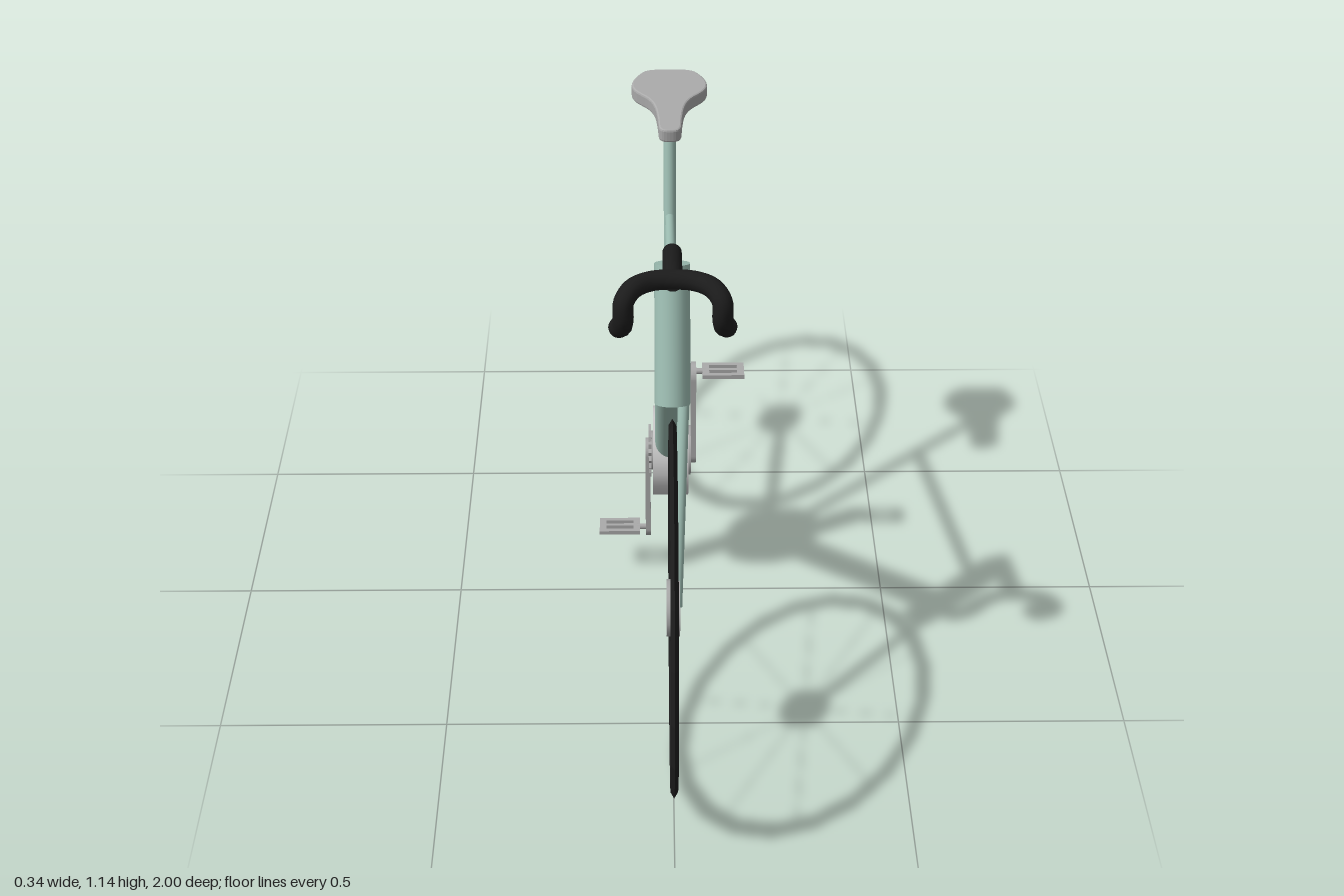
import * as THREE from 'three';

const V = (x, y, z) => new THREE.Vector3(x, y, z);
const mat = (color, flatShading = false) => new THREE.MeshStandardMaterial({ color, flatShading });
const paint = mat(0x9dbdb2);
const black = mat(0x1c1c1c);
const tyre = mat(0x1c1c1c, true);
const metal = mat(0xaaaaaa);
const shell = mat(0xcccccc);

const WHEEL_Y = 0.399, WHEEL_Z = 0.604, WHEEL_R = 0.396;
const CRANK = V(0, 0.337, -0.094);

function add(parent, name, geometry, material) {
  const mesh = new THREE.Mesh(geometry, material);
  mesh.name = name;
  parent.add(mesh);
  return mesh;
}

// Round bar between two points
function bar(parent, name, a, b, r, material, sides = 20) {
  const d = b.clone().sub(a);
  const mesh = add(parent, name, new THREE.CylinderGeometry(r, r, d.length(), sides), material);
  mesh.position.copy(a).addScaledVector(d, 0.5);
  mesh.quaternion.setFromUnitVectors(V(0, 1, 0), d.normalize());
  return mesh;
}

// Disc whose axle runs along x, spanning x0 to x1
const disc = (parent, name, x0, x1, y, z, r, material, sides = 24) =>
  bar(parent, name, V(x0, y, z), V(x1, y, z), r, material, sides);

// Toothed ring lying across the x axis, centred on its own axle
function sprocket(parent, name, x, y, z, r, teeth, hole) {
  const s = new THREE.Shape();
  for (let i = 0; i < teeth * 2; i++) {
    const a = (i / teeth) * Math.PI, q = i % 2 ? r : r * 0.88;
    i ? s.lineTo(q * Math.cos(a), q * Math.sin(a)) : s.moveTo(q, 0);
  }
  s.holes.push(new THREE.Path().absarc(0, 0, hole, 0, Math.PI * 2, true));
  const g = new THREE.ExtrudeGeometry(s, { depth: 0.006, bevelEnabled: false });
  g.rotateY(Math.PI / 2);
  add(parent, name, g, metal).position.set(x, y, z);
}

function wheel(name, z) {
  const group = new THREE.Group();
  group.name = name;
  group.position.set(0, WHEEL_Y, z);
  // Faceted tyre with a lens-shaped section
  const section = [[0.354, 0], [0.365, -0.008], [0.383, -0.008], [WHEEL_R, 0],
    [0.383, 0.008], [0.365, 0.008], [0.354, 0]].map(([r, h]) => new THREE.Vector2(r, h));
  add(group, 'tyre', new THREE.LatheGeometry(section, 20).rotateZ(Math.PI / 2), tyre);
  disc(group, 'hub', -0.014, 0.014, 0, 0, 0.06, metal, 14);
  for (let i = 0; i < 10; i++) {
    const a = THREE.MathUtils.degToRad(100 + i * 36);
    const at = (r) => V(0, r * Math.sin(a), r * Math.cos(a));
    bar(group, 'spoke', at(0.04), at(0.36), 0.0015, metal, 5);
  }
  return group;
}

// Crank arm with a slotted platform pedal; side is +1 or -1, dir is up or down
function crank(name, side, dir) {
  const group = new THREE.Group();
  group.name = name;
  group.position.copy(CRANK);
  const arm = new THREE.Shape();
  arm.absarc(0, 0, 0.03, Math.PI, 0, false);
  arm.absarc(0, 0.207, 0.03, 0, Math.PI, false);
  const armGeo = new THREE.ExtrudeGeometry(arm, { depth: 0.012, bevelEnabled: false });
  armGeo.translate(0, 0, -0.006).rotateY(Math.PI / 2);
  const armMesh = add(group, 'crankArm', armGeo, metal);
  armMesh.position.x = side * 0.053;
  if (dir < 0) armMesh.rotation.x = Math.PI;
  disc(group, 'crankAxle', 0, side * 0.05, 0, 0, 0.028, metal);

  const y = dir * 0.217;
  disc(group, 'pedalAxle', side * 0.05, side * 0.08, y, 0, 0.007, metal, 10);
  const rect = (T, x, z, w, d) => {
    const p = new T();
    p.moveTo(x, z);
    p.lineTo(x + w, z);
    p.lineTo(x + w, z + d);
    p.lineTo(x, z + d);
    p.closePath();
    return p;
  };
  const plate = rect(THREE.Shape, -0.048, -0.028, 0.096, 0.056);
  for (const z of [-0.017, 0.005]) plate.holes.push(rect(THREE.Path, -0.032, z, 0.064, 0.012));
  const plateGeo = new THREE.ExtrudeGeometry(plate, { depth: 0.01, bevelEnabled: false });
  plateGeo.translate(0, 0, -0.005).rotateX(-Math.PI / 2);
  add(group, 'pedal', plateGeo, metal).position.set(side * 0.121, y, 0);
  return group;
}

function saddle() {
  const s = new THREE.Shape();
  // Outline: y runs backwards from the nose
  s.moveTo(0, -0.138);
  s.bezierCurveTo(0.02, -0.138, 0.022, -0.13, 0.022, -0.11);
  s.bezierCurveTo(0.026, -0.02, 0.035, 0.0, 0.062, 0.027);
  s.bezierCurveTo(0.09, 0.055, 0.088, 0.085, 0.062, 0.122);
  s.bezierCurveTo(0.052, 0.14, 0.03, 0.139, 0, 0.139);
  s.bezierCurveTo(-0.03, 0.139, -0.052, 0.14, -0.062, 0.122);
  s.bezierCurveTo(-0.088, 0.085, -0.09, 0.055, -0.062, 0.027);
  s.bezierCurveTo(-0.035, 0.0, -0.026, -0.02, -0.022, -0.11);
  s.bezierCurveTo(-0.022, -0.13, -0.02, -0.138, 0, -0.138);
  const g = new THREE.ExtrudeGeometry(s, {
    depth: 0.022, curveSegments: 8, bevelThickness: 0.005, bevelSize: 0.004, bevelSegments: 2,
  });
  g.translate(0, 0, -0.011).rotateX(-Math.PI / 2);
  const mesh = new THREE.Mesh(g, metal);
  mesh.name = 'saddle';
  mesh.position.set(0, 1.117, -0.325);
  mesh.rotation.x = 0.07;
  return mesh;
}

function handlebar() {
  const group = new THREE.Group();
  group.name = 'handlebar';
  const half = [[0.045, 1.102, 0.462], [0.08, 1.098, 0.485], [0.098, 1.08, 0.508],
    [0.099, 1.045, 0.51], [0.102, 1.018, 0.495], [0.108, 1.007, 0.48]];
  const pts = [...half.map(([x, y, z]) => V(-x, y, z)).reverse(), V(0, 1.102, 0.455),
    ...half.map(([x, y, z]) => V(x, y, z))];
  add(group, 'dropBar', new THREE.TubeGeometry(new THREE.CatmullRomCurve3(pts), 72, 0.021, 12), black);
  // Closed grips at the bar ends
  for (const s of [-1, 1]) {
    add(group, 'barEnd', new THREE.SphereGeometry(0.022, 12, 8), black).position.set(s * 0.108, 1.007, 0.48);
  }
  bar(group, 'stem', V(0, 1.076, 0.295), V(0, 1.101, 0.465), 0.02, black);
  return group;
}

export function createModel() {
  const model = new THREE.Group();
  model.name = 'bicycle';
  model.add(wheel('frontWheel', WHEEL_Z), wheel('rearWheel', -WHEEL_Z));

  // Frame
  const frame = new THREE.Group();
  frame.name = 'frame';
  model.add(frame);
  bar(frame, 'headTube', V(0, 1.065, 0.32), V(0, 0.785, 0.415), 0.037, paint, 28);
  bar(frame, 'downTube', V(0, 0.85, 0.385), V(0, 0.365, -0.06), 0.036, paint, 28);
  bar(frame, 'topTube', V(0, 0.976, 0.34), V(0, 0.87, -0.25), 0.011, paint);
  bar(frame, 'seatTube', V(0, 0.35, -0.098), V(0, 1.115, -0.33), 0.014, paint);
  // One-sided fork blade and chain stay
  bar(frame, 'forkBlade', V(0.024, 0.81, 0.405), V(0.007, WHEEL_Y, WHEEL_Z - 0.003), 0.012, paint);
  bar(frame, 'chainStay', V(0.028, 0.285, -0.1), V(0.007, WHEEL_Y - 0.002, -WHEEL_Z), 0.012, paint);

  // Drive: broad bottom bracket shell, chainring on one side, rear cog
  const { y, z } = CRANK;
  disc(model, 'bottomBracket', -0.041, 0.041, y, z, 0.105, shell, 18);
  disc(model, 'bracketCap', 0.04, 0.047, y, z, 0.058, metal);
  sprocket(model, 'chainring', -0.051, y, z, 0.062, 20, 0.03);
  disc(model, 'chainringBoss', -0.047, -0.04, y, z, 0.046, metal);
  sprocket(model, 'rearCog', -0.021, WHEEL_Y, -WHEEL_Z, 0.034, 12, 0.012);
  model.add(crank('leftCrank', 1, 1), crank('rightCrank', -1, -1));

  model.add(saddle(), handlebar());
  return model;
}
